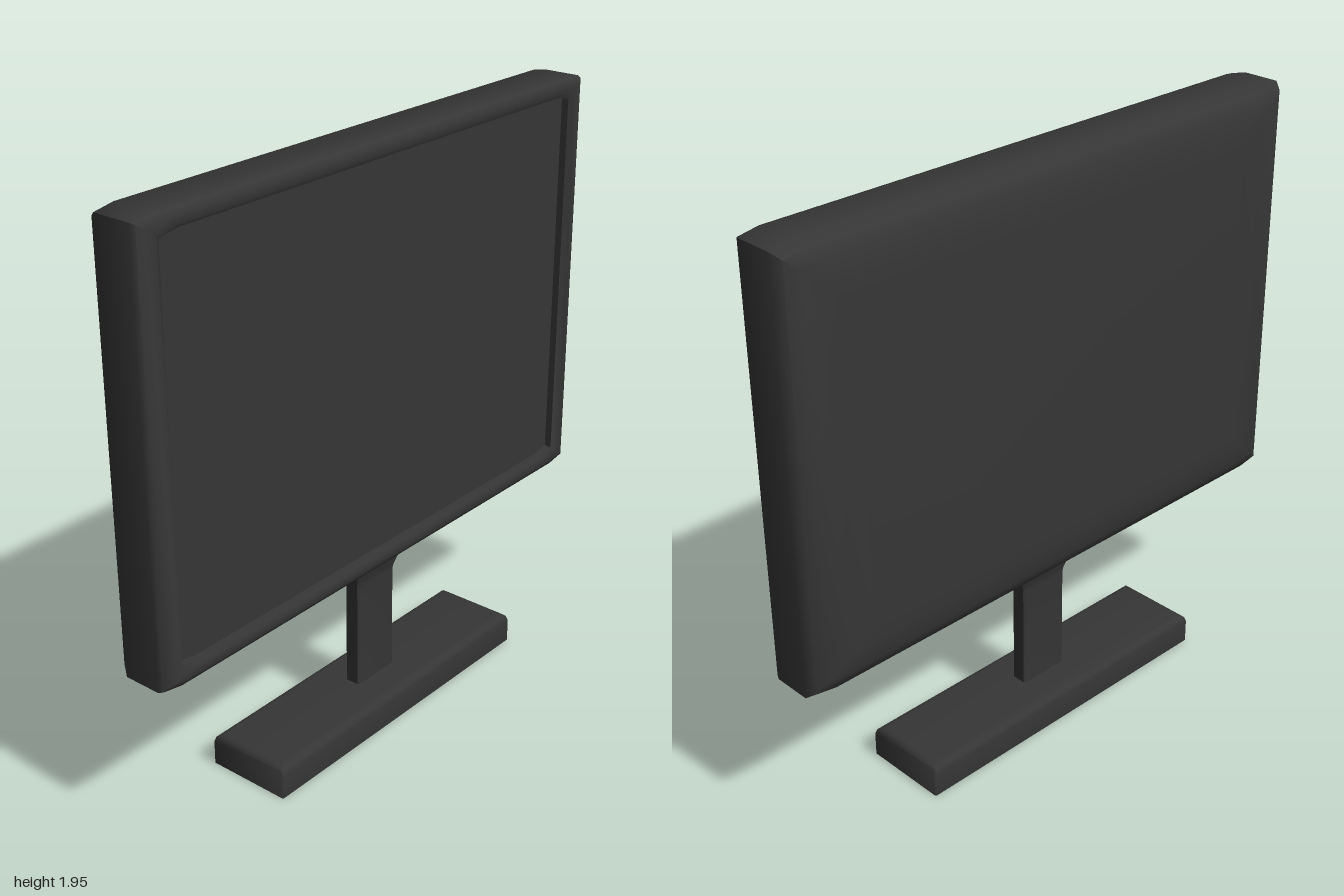
import * as THREE from 'three';
import { toCreasedNormals } from 'three/addons/utils/BufferGeometryUtils.js';

// Rectangle outline with clipped corners, counter-clockwise
function outline(w, h, cx, cy) {
  return [[w, -h + cy], [w, h - cy], [w - cx, h], [-w + cx, h],
    [-w, h - cy], [-w, -h + cy], [-w + cx, -h], [w - cx, -h]];
}

// Skin over rectangular sections [halfWidth, halfHeight, z], from low to high z
function loft(sections, cx, cy, capStart, capEnd, crease) {
  const pos = [], index = [], n = 8;
  for (const [w, h, z] of sections) {
    for (const [x, y] of outline(w, h, cx, cy)) pos.push(x, y, z);
  }
  for (let i = 0; i < sections.length - 1; i++) {
    for (let j = 0; j < n; j++) {
      const a = i * n + j, b = i * n + (j + 1) % n;
      index.push(a, b, b + n, a, b + n, a + n);
    }
  }
  const last = (sections.length - 1) * n;
  for (let j = 1; j < n - 1; j++) {
    if (capStart) index.push(0, j + 1, j);
    if (capEnd) index.push(last, last + j, last + j + 1);
  }
  const geo = new THREE.BufferGeometry();
  geo.setAttribute('position', new THREE.Float32BufferAttribute(pos, 3));
  geo.setIndex(index);
  return toCreasedNormals(geo, crease);
}

export function createModel() {
  const group = new THREE.Group();
  const charcoal = new THREE.MeshStandardMaterial({ color: 0x363636, side: THREE.DoubleSide });
  charcoal.name = 'charcoal';

  const add = (name, geo) => {
    const mesh = new THREE.Mesh(geo, charcoal);
    mesh.name = name;
    group.add(mesh);
    return mesh;
  };

  // Housing: domed back, rounded sides, front rim
  const housing = add('housing', loft([
    [0.78, 0.50, -0.126], [0.86, 0.58, -0.125], [0.94, 0.645, -0.112], [0.98, 0.68, -0.098],
    [1, 0.70, -0.068], [1, 0.70, 0.06], [0.992, 0.695, 0.075], [0.97, 0.68, 0.084],
    [0.935, 0.655, 0.085], [0.92, 0.642, 0.078], [0.918, 0.64, 0.055],
  ], 0.07, 0.012, true, false, 0.9));
  housing.position.y = 1.25;

  // Recessed screen
  const screen = add('screen', new THREE.PlaneGeometry(1.836, 1.28));
  screen.position.set(0, 1.25, 0.055);

  // Neck, flaring where it meets the housing
  const neck = add('neck', loft([
    [0.09, 0.028, 0.09], [0.09, 0.028, 0.47], [0.094, 0.03, 0.49], [0.104, 0.035, 0.512],
    [0.12, 0.036, 0.53], [0.137, 0.036, 0.55], [0.14, 0.036, 0.57],
  ], 0.008, 0.005, true, true, 0.9));
  neck.rotation.x = -Math.PI / 2;

  // Foot: hollow shell, open underneath
  const foot = add('foot', loft([
    [0.595, 0.147, 0], [0.595, 0.147, 0.08], [0.59, 0.142, 0.096],
    [0.58, 0.132, 0.105], [0.565, 0.118, 0.108],
  ], 0.003, 0.003, false, true, 0.9));
  foot.rotation.x = -Math.PI / 2;

  return group;
}
